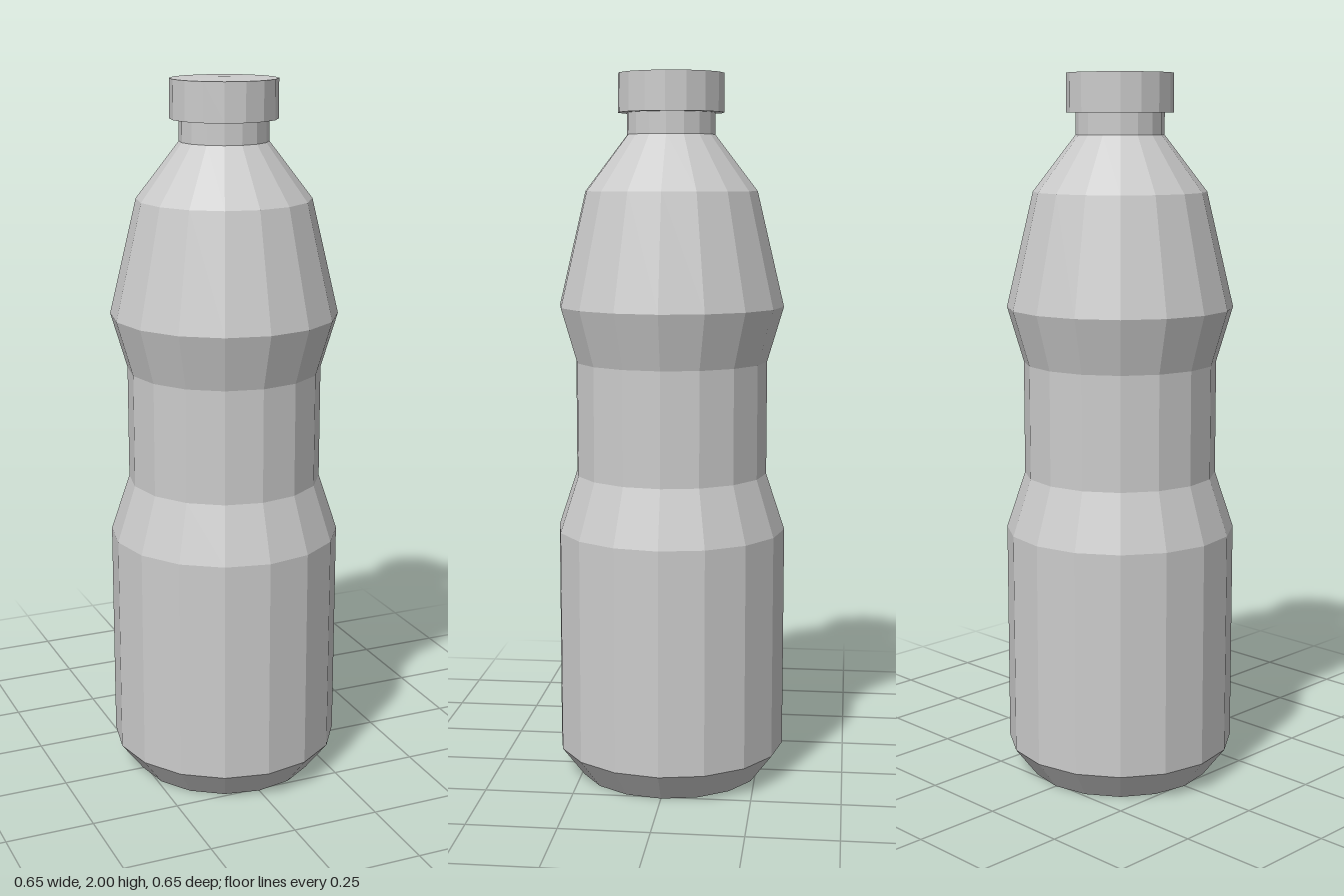
import * as THREE from 'three';

const SIDES = 16;

// Faceted solid of revolution from [radius, height] pairs, listed bottom to top
function turned(name, profile) {
  const points = profile.map(([r, y]) => new THREE.Vector2(r, y));
  const material = new THREE.MeshStandardMaterial({ color: 0xcccccc, flatShading: true });
  const mesh = new THREE.Mesh(new THREE.LatheGeometry(points, SIDES), material);
  mesh.name = name;
  return mesh;
}

export function createModel() {
  const bottle = new THREE.Group();
  bottle.name = 'bottle';

  // Body: slightly hollow base, chamfer, lower barrel, narrow grip, shoulder
  bottle.add(turned('body', [
    [0, 0.01], [0.26, 0], [0.325, 0.085], [0.325, 0.72],
    [0.272, 0.88], [0.272, 1.2], [0.318, 1.355],
    [0.242, 1.675], [0.123, 1.83],
  ]));

  // Neck, running up into the cap
  bottle.add(turned('neck', [[0.123, 1.83], [0.123, 1.9]]));

  // Screw cap with a barely domed top
  bottle.add(turned('cap', [[0, 1.89], [0.148, 1.89], [0.148, 1.997], [0, 2]]));

  return bottle;
}
